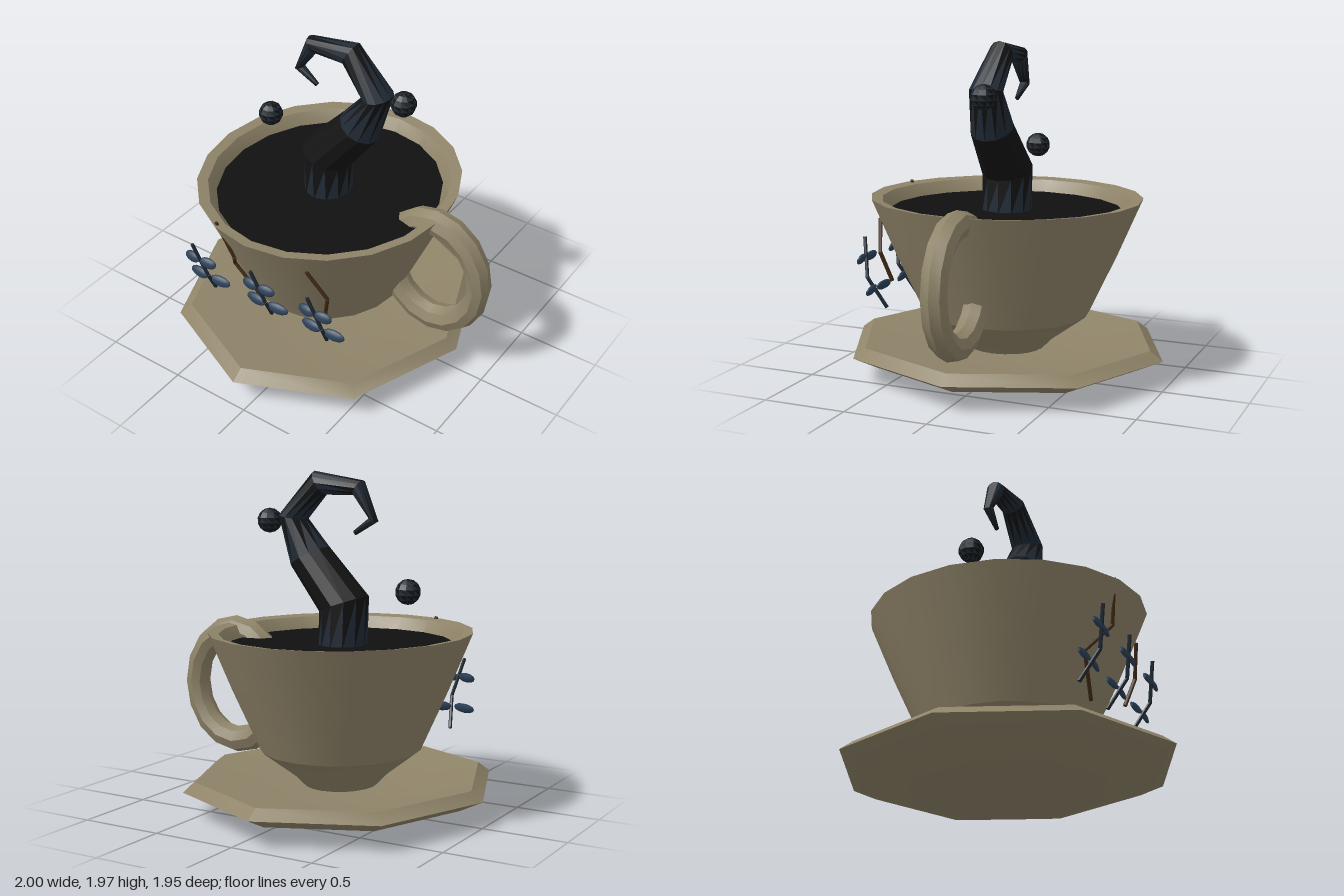
import * as THREE from 'three';
import { toCreasedNormals } from 'three/addons/utils/BufferGeometryUtils.js';

const paint = (color, flatShading = false) => new THREE.MeshStandardMaterial({ color, flatShading });
const stone = paint(0x8f8469);
const black = paint(0x131313, true);
const slate = paint(0x202a36, true);
const leafBlue = paint(0x2b4058);
const brown = paint(0x432c18);
const liquidBlack = paint(0x101010);

const AXIS_X = -0.09; // centre line of cup and saucer
const OVAL = 1.07;    // both are slightly longer in z

function add(parent, name, geometry, material, x = 0, y = 0, z = 0) {
  const mesh = new THREE.Mesh(geometry, material);
  mesh.name = name;
  mesh.position.set(x, y, z);
  parent.add(mesh);
  return mesh;
}

// Turned part with an oval plan
function turned(profile, sides, crease) {
  const g = new THREE.LatheGeometry(profile.map(p => new THREE.Vector2(...p)), sides);
  g.scale(1, 1, OVAL);
  return toCreasedNormals(g, crease);
}

// Faceted geometry whose triangles alternate between two materials
function twoTone(geometry, isLight = t => t % 2) {
  const g = geometry.index ? geometry.toNonIndexed() : geometry;
  g.clearGroups();
  const triangles = g.attributes.position.count / 3;
  for (let t = 0; t < triangles; t++) g.addGroup(t * 3, 3, isLight(t) ? 1 : 0);
  g.computeVertexNormals();
  return g;
}

// Straight rods joined end to end through the points
function rods(parent, name, points, radius, material) {
  const group = new THREE.Group();
  group.name = name;
  const pts = points.map(p => new THREE.Vector3(...p));
  for (let i = 0; i + 1 < pts.length; i++) {
    const d = pts[i + 1].clone().sub(pts[i]);
    const rod = add(group, name + 'Segment', new THREE.CylinderGeometry(radius, radius, d.length() + radius, 6), material);
    rod.position.copy(pts[i]).addScaledVector(d, 0.5);
    rod.quaternion.setFromUnitVectors(new THREE.Vector3(0, 1, 0), d.normalize());
  }
  parent.add(group);
}

// Loft through rings given as inner x,y, outer x,y, half depth, centre z
function tentacleGeometry() {
  const rings = [
    [-0.24, 0.95, 0.04, 0.95, 0.15, 0],
    [-0.25, 1.255, 0.035, 1.155, 0.15, 0],
    [0.01, 1.53, 0.23, 1.41, 0.125, 0],
    [0.145, 1.685, 0.31, 1.71, 0.1, -0.01],
    [0, 1.83, 0.075, 1.965, 0.07, -0.025],
    [-0.19, 1.83, -0.245, 1.915, 0.055, -0.025],
    [-0.285, 1.705, -0.34, 1.685, 0.03, -0.025],
    [-0.185, 1.63, -0.2, 1.605, 0.012, -0.025],
  ];
  const sides = 12, pos = [];
  const point = (r, i) => {
    const [lx, ly, rx, ry, hz, cz] = rings[r];
    const a = (i / sides) * Math.PI * 2, c = Math.cos(a) / 2;
    return [(lx + rx) / 2 + (rx - lx) * c, (ly + ry) / 2 + (ry - ly) * c, cz + hz * Math.sin(a)];
  };
  for (let r = 0; r + 1 < rings.length; r++) {
    for (let i = 0; i < sides; i++) {
      pos.push(...point(r, i), ...point(r + 1, i), ...point(r, i + 1));
      pos.push(...point(r, i + 1), ...point(r + 1, i), ...point(r + 1, i + 1));
    }
  }
  // tip cap
  const last = rings.length - 1;
  for (let i = 1; i + 1 < sides; i++) pos.push(...point(last, 0), ...point(last, i + 1), ...point(last, i));
  const g = new THREE.BufferGeometry();
  g.setAttribute('position', new THREE.Float32BufferAttribute(pos, 3));
  // the second section stays dark
  return twoTone(g, t => t % 2 === 0 && Math.floor(t / (sides * 2)) !== 1);
}

export function createModel() {
  const model = new THREE.Group();
  model.name = 'tentacleTeacup';

  // Eight-sided saucer
  add(model, 'saucer', turned([
    [0, 0], [0.495, 0], [0.77, 0.08], [0.91, 0.15], [0.84, 0.205], [0.5, 0.16], [0, 0.13],
  ], 8, 0.5), stone, AXIS_X);

  // Cup wall, outside then rim then inside
  add(model, 'cup', turned([
    [0.2, 0.13], [0.275, 0.21], [0.466, 0.36], [0.62, 0.71], [0.757, 1.05],
    [0.695, 1.04], [0.65, 0.97], [0.6, 0.8],
  ], 20, 0.42), stone, AXIS_X);

  // Liquid surface
  const liquid = new THREE.CircleGeometry(0.66, 24).rotateX(-Math.PI / 2).scale(1, 1, OVAL);
  add(model, 'liquid', liquid, liquidBlack, AXIS_X, 0.97, 0);

  // Ring handle, partly buried in the cup
  const handle = new THREE.TorusGeometry(0.343, 0.08, 8, 16);
  handle.scale(0.86, 1, 1);
  add(model, 'handle', toCreasedNormals(handle, 0.6), stone, 0.636, 0.667, -0.015);

  // Tentacle and flying drops
  add(model, 'tentacle', tentacleGeometry(), [black, slate]);
  for (const [x, y, z] of [[0.365, 1.675, -0.055], [-0.535, 1.3, -0.025]])
    add(model, 'drop', twoTone(new THREE.SphereGeometry(0.073, 10, 7)), [black, slate], x, y, z);

  // Three painted sprigs: bent stem with two pairs of leaves
  for (const x of [-0.5, -0.078, 0.315]) {
    const sprig = new THREE.Group();
    sprig.name = 'sprig';
    sprig.position.x = x;
    rods(sprig, 'stem', [[-0.03, 0.81, 0.745], [0.03, 0.585, 0.7], [-0.01, 0.41, 0.598]], 0.011, slate);
    for (const [y, z, offset, half] of [[0.7, 0.722, 0.057, 0.056], [0.525, 0.65, 0.077, 0.07]]) {
      for (const side of [-1, 1]) {
        const leaf = add(sprig, 'leaf', new THREE.SphereGeometry(1, 8, 6).rotateZ(Math.PI / 2),
          leafBlue, side * offset, y, z);
        leaf.scale.set(half, 0.034, 0.015);
        leaf.rotation.set(-0.35, side * 0.1, 0);
      }
    }
    model.add(sprig);
  }

  // Zigzag cracks
  rods(model, 'longCrack', [
    [-0.335, 1.055, 0.745], [-0.26, 0.815, 0.7], [-0.365, 0.645, 0.575], [-0.195, 0.43, 0.54],
  ], 0.011, brown);
  rods(model, 'shortCrack', [[0.23, 0.915, 0.67], [0.33, 0.74, 0.62], [0.28, 0.57, 0.573]], 0.012, brown);

  return model;
}
